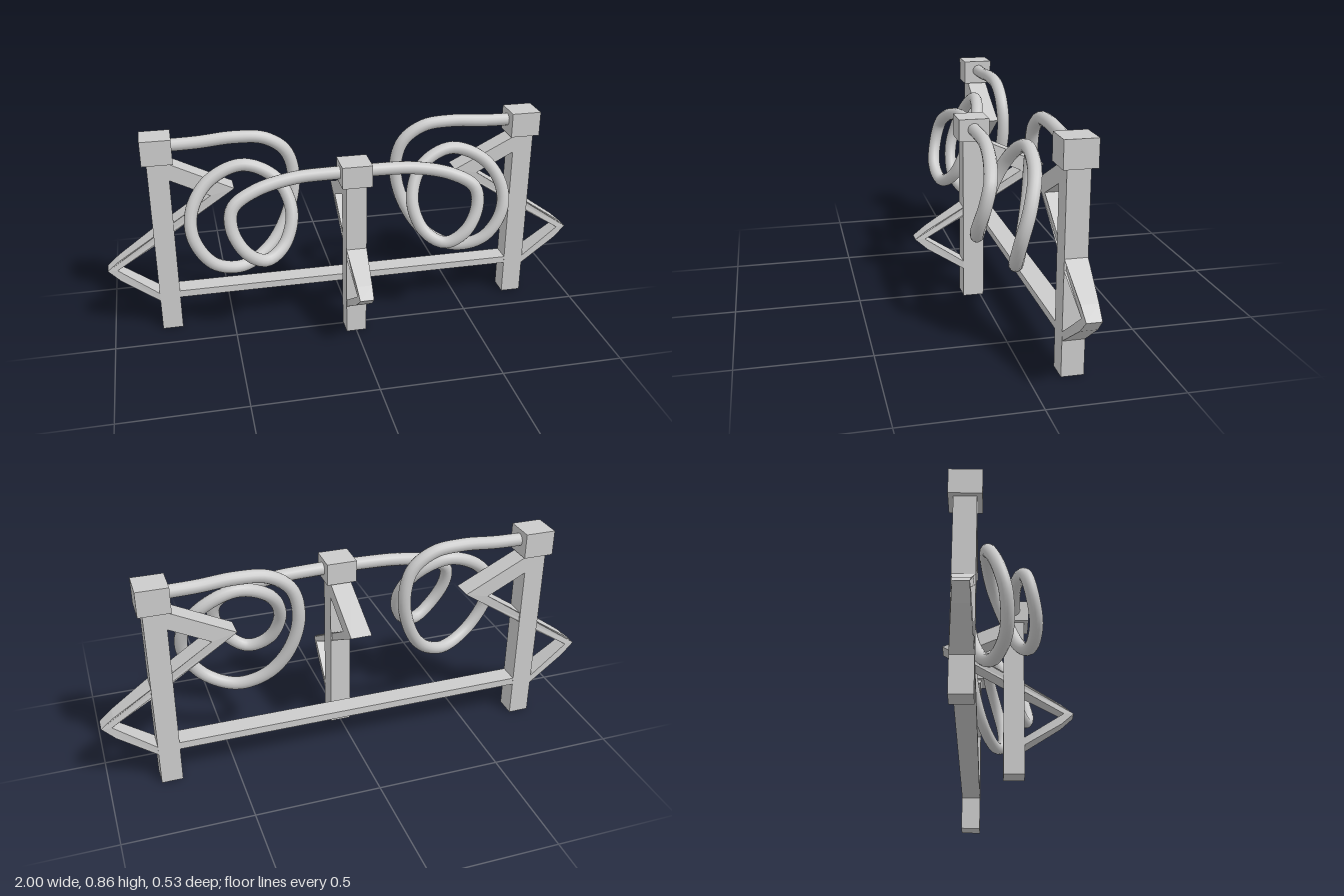
import * as THREE from 'three';

const material = new THREE.MeshStandardMaterial({ color: 0xcccccc });
const flat = new THREE.MeshStandardMaterial({ color: 0xcccccc, flatShading: true });

function box(name, w, h, d, x, y, z) {
  const mesh = new THREE.Mesh(new THREE.BoxGeometry(w, h, d), flat);
  mesh.name = name;
  mesh.position.set(x, y, z);
  return mesh;
}

// Zigzag strap: out from the post, back through it, and up to its top.
// Heights are for a post 0.67 tall; the outer bend narrows towards its tip.
function strap(height) {
  const k = height / 0.67;
  const outline = [
    [0.02, 0.108], [0.0425, 0.122], [0.19, 0.215], [0.24, 0.26], [0.19, 0.298],
    [0.0425, 0.388], [-0.198, 0.53], [-0.0425, 0.6], [-0.02, 0.61], [-0.02, 0.668],
    [-0.0425, 0.663], [-0.295, 0.55], [0.0425, 0.35], [0.2, 0.26], [0.0425, 0.154], [0.02, 0.14],
  ];
  const shape = new THREE.Shape(outline.map(([u, v]) => new THREE.Vector2(u, v * k)));
  const geometry = new THREE.ExtrudeGeometry(shape, { depth: 1, bevelEnabled: false });
  const p = geometry.attributes.position;
  for (let i = 0; i < p.count; i++) {
    const t = THREE.MathUtils.clamp((p.getX(i) - 0.0425) / 0.1975, 0, 1);
    p.setZ(i, (p.getZ(i) - 0.5) * THREE.MathUtils.lerp(0.084, 0.056, t));
  }
  geometry.computeVertexNormals();
  const mesh = new THREE.Mesh(geometry, flat);
  mesh.name = 'zigzagStrap';
  return mesh;
}

// Square post with its cap and strap, the strap's lower bend pointing along local +x
function post(name, height, capHeight, x, z, turn) {
  const group = new THREE.Group();
  group.name = name;
  group.add(
    box('shaft', 0.084, height, 0.084, 0, height / 2, 0),
    box('cap', 0.122, capHeight, 0.122, 0, height + capHeight / 2 - 0.004, 0),
    strap(height),
  );
  group.position.set(x, 0, z);
  group.rotation.y = turn;
  return group;
}

// Looping tube from the centre cap to a side cap
function coil(name, side) {
  const path = [
    [0, 0.715, 0.03], [0.1, 0.715, 0.027], [0.25, 0.708, 0.028], [0.4, 0.675, 0.045],
    [0.49, 0.62, 0.065], [0.5, 0.54, 0.085], [0.45, 0.44, 0.102], [0.37, 0.388, 0.085],
    [0.29, 0.43, 0.045], [0.25, 0.55, -0.005], [0.3, 0.675, -0.06], [0.43, 0.735, -0.085],
    [0.57, 0.68, -0.075], [0.645, 0.57, -0.04], [0.645, 0.46, -0.012], [0.57, 0.345, -0.01],
    [0.45, 0.303, -0.05], [0.33, 0.36, -0.1], [0.25, 0.48, -0.14], [0.216, 0.63, -0.16],
    [0.245, 0.75, -0.16], [0.33, 0.812, -0.16], [0.45, 0.825, -0.16], [0.6, 0.815, -0.16],
    [0.76, 0.812, -0.16],
  ].map(([x, y, z]) => new THREE.Vector3(x * side, y, z));
  const curve = new THREE.CatmullRomCurve3(path);
  const mesh = new THREE.Mesh(new THREE.TubeGeometry(curve, 160, 0.026, 14), material);
  mesh.name = name;
  return mesh;
}

export function createModel() {
  const model = new THREE.Group();
  model.name = 'coilRack';
  model.add(
    post('centrePost', 0.672, 0.09, 0, 0.028, -Math.PI / 2),
    post('leftPost', 0.758, 0.102, 0.76, -0.157, 0),
    post('rightPost', 0.758, 0.102, -0.76, -0.157, Math.PI),
    box('crossbar', 1.5, 0.03, 0.082, 0, 0.16, -0.157),
    coil('leftCoil', 1),
    coil('rightCoil', -1),
  );
  return model;
}
